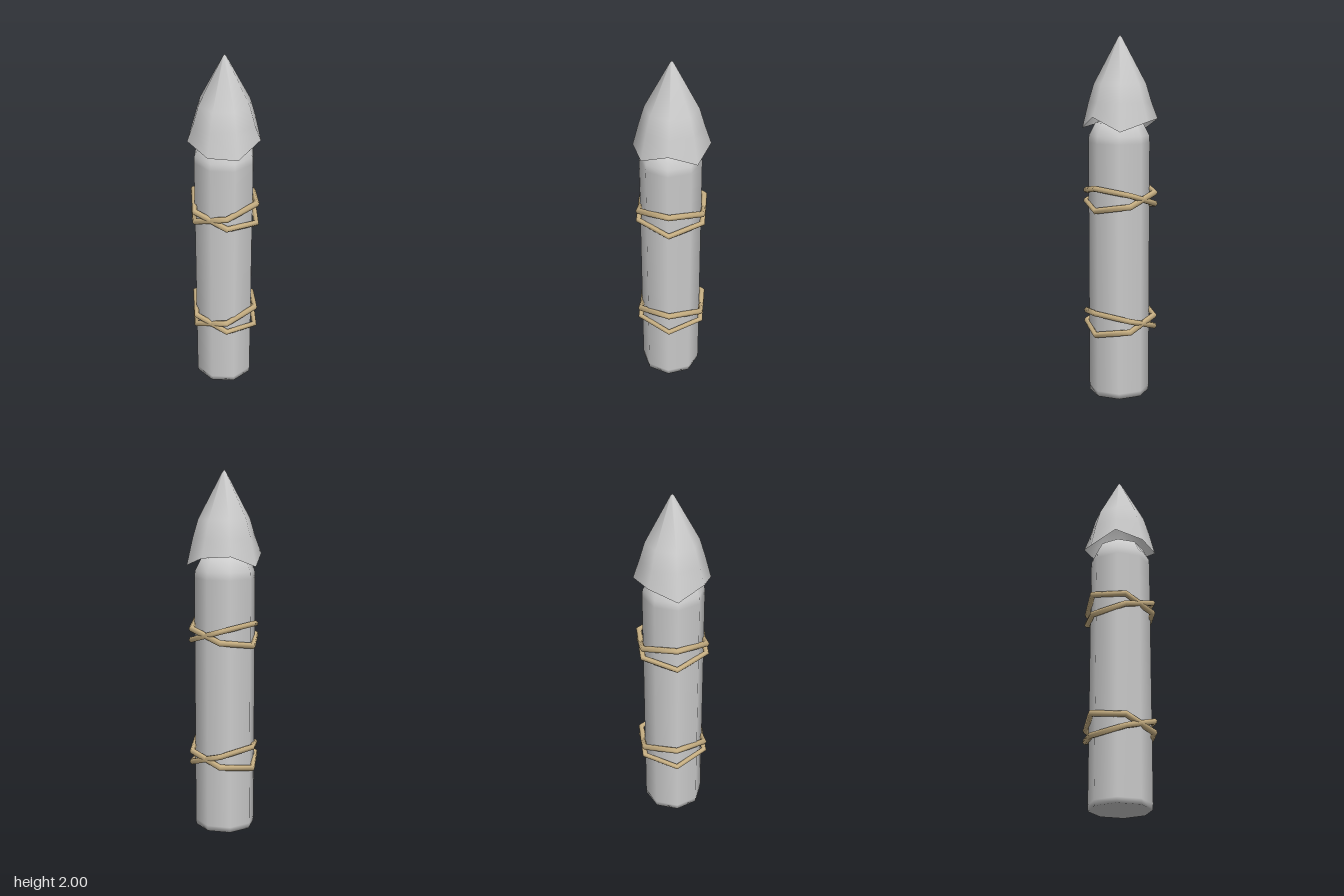
import * as THREE from 'three';

const stone = new THREE.MeshStandardMaterial({ color: 0xcbcbcb, side: THREE.DoubleSide });
stone.name = 'pale grey';
const twine = new THREE.MeshStandardMaterial({ color: 0xc8b083 });
twine.name = 'tan twine';

const SIDES = 8;

// Eight-sided turned shape from [radius, height] pairs, bottom to top
function turned(profile) {
  return new THREE.LatheGeometry(profile.map(([r, y]) => new THREE.Vector2(r, y)), SIDES);
}

function addMesh(parent, name, geometry, material) {
  const mesh = new THREE.Mesh(geometry, material);
  mesh.name = name;
  parent.add(mesh);
  return mesh;
}

export function createModel() {
  const model = new THREE.Group();
  model.name = 'boundStake';

  // Shaft with softened base and shoulder
  const shaft = addMesh(model, 'shaft', turned([
    [0, 0], [0.167, 0], [0.169, 0.03], [0.169, 1.42], [0.166, 1.46], [0.13, 1.53], [0, 1.56],
  ]), stone);
  shaft.position.z = 0.007;

  // Pointed cap with a ragged lower rim; heights run round from the front towards +x
  const rimHeights = [1.51, 1.5, 1.565, 1.49, 1.54, 1.55, 1.49, 1.55];
  const profile = [[0.207, 1.52], [0.173, 1.64], [0.143, 1.74], [0.012, 1.985], [0, 2]];
  const capGeometry = turned(profile);
  const position = capGeometry.attributes.position;
  for (let i = 0; i <= SIDES; i++) {
    position.setY(i * profile.length, rimHeights[i % SIDES]);
  }
  addMesh(model, 'pointedCap', capGeometry, stone);

  // Two bindings, each a pair of six-sided hoops tilted against each other
  for (const [name, y] of [['lowerBinding', 0.425], ['upperBinding', 1.12]]) {
    const binding = new THREE.Group();
    binding.name = name;
    binding.position.y = y;
    for (const tilt of [-1, 1]) {
      const hoop = new THREE.TorusGeometry(0.2, 0.017, 6, 6);
      hoop.rotateX(Math.PI / 2);
      hoop.rotateZ(tilt * 0.31);
      addMesh(binding, tilt < 0 ? 'hoopFalling' : 'hoopRising', hoop, twine);
    }
    model.add(binding);
  }

  return model;
}
